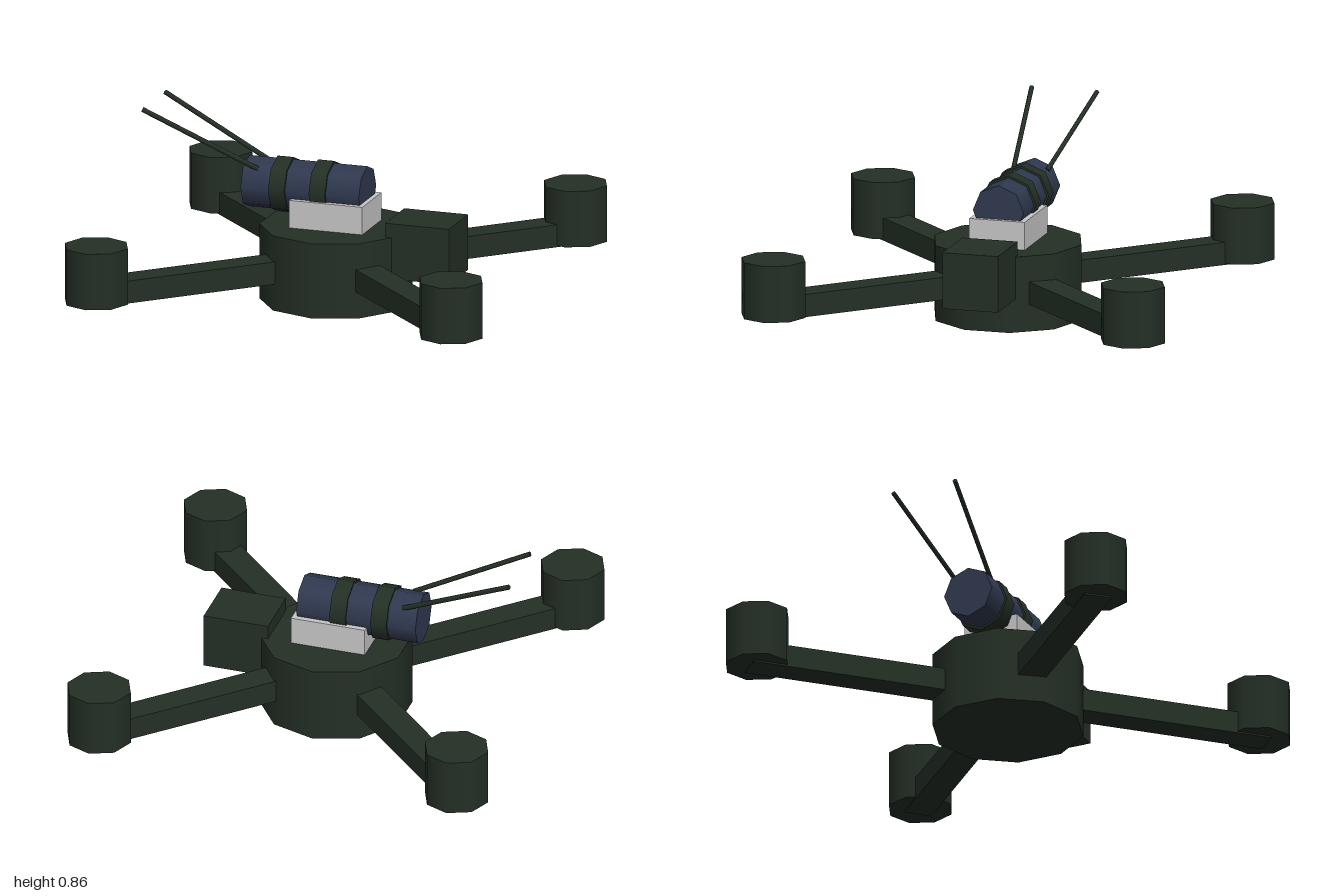
import * as THREE from 'three';

export function createModel() {
  const model = new THREE.Group();
  model.name = 'drone';

  const paint = (name, color) => {
    const m = new THREE.MeshStandardMaterial({ color });
    m.name = name;
    return m;
  };
  const green = paint('darkGreen', 0x243026);
  const blue = paint('navyBlue', 0x303950);
  const grey = paint('lightGrey', 0xc8c8c8);

  const add = (name, geometry, material, x, y, z) => {
    const mesh = new THREE.Mesh(geometry, material);
    mesh.name = name;
    mesh.position.set(x, y, z);
    model.add(mesh);
    return mesh;
  };

  // Ten-sided hub
  add('body', new THREE.CylinderGeometry(0.346, 0.346, 0.35, 10), green, 0, 0.175, 0);

  // Four diagonal arms, each with an eight-sided motor pod
  const armStart = 0.15, armEnd = 1.235;
  for (const sx of [-1, 1]) {
    for (const sz of [-1, 1]) {
      const mid = (armStart + armEnd) / 2 * Math.SQRT1_2;
      const arm = add('arm', new THREE.BoxGeometry(armEnd - armStart, 0.105, 0.13), green,
        sx * mid, 0.178, sz * mid);
      arm.rotation.y = Math.atan2(-sz, sx);
      add('motorPod', new THREE.CylinderGeometry(0.15, 0.15, 0.262, 8), green,
        sx * 0.848, 0.264, sz * 0.848);
    }
  }

  // Side equipment box
  add('sideBox', new THREE.BoxGeometry(0.305, 0.26, 0.262), green, 0.433, 0.285, 0);

  // Mount and the canister lying on it along x
  add('mount', new THREE.BoxGeometry(0.35, 0.13, 0.262), grey, -0.004, 0.414, 0);
  const lying = (name, radius, x0, x1, material) => {
    const g = new THREE.CylinderGeometry(radius, radius, x1 - x0, 8);
    g.rotateY(Math.PI / 2).rotateZ(Math.PI / 2);
    add(name, g, material, (x0 + x1) / 2, 0.515, 0);
  };
  lying('canister', 0.12, -0.415, 0.15, blue);
  lying('strap', 0.13, -0.28, -0.203, green);
  lying('strap', 0.13, -0.086, -0.009, green);

  // Pair of splayed antennas
  for (const s of [-1, 1]) {
    const from = new THREE.Vector3(-0.345, 0.597, s * 0.079);
    const to = new THREE.Vector3(-0.872, 0.847, s * 0.154);
    const dir = to.clone().sub(from);
    const c = from.clone().add(to).multiplyScalar(0.5);
    const rod = add('antenna', new THREE.CylinderGeometry(0.0115, 0.0115, dir.length(), 6), green, c.x, c.y, c.z);
    rod.quaternion.setFromUnitVectors(new THREE.Vector3(0, 1, 0), dir.normalize());
  }

  return model;
}
